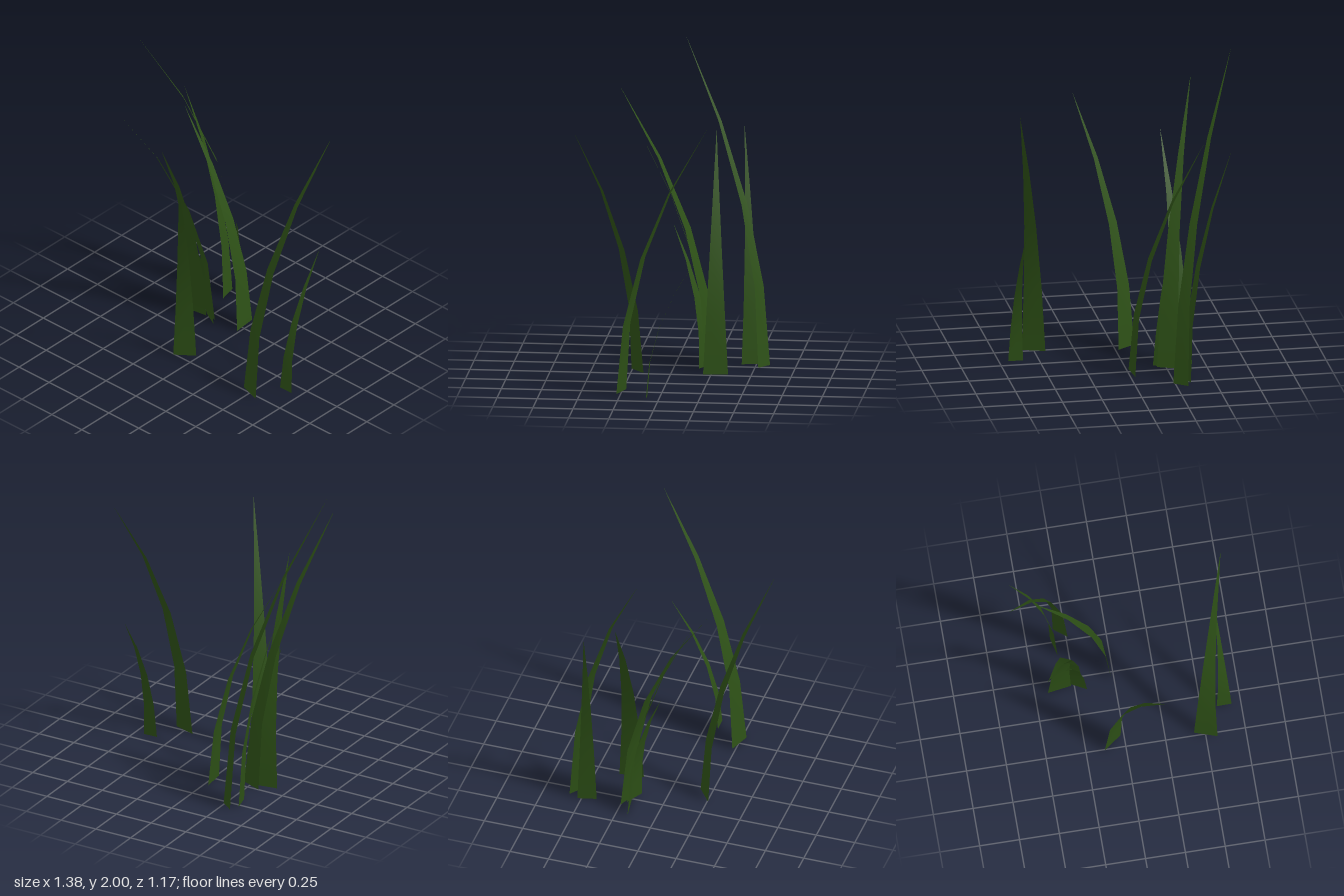
import * as THREE from 'three';

// One blade: a flat strip that narrows to a point and bends over quadratically.
function makeBlade(width, height, lean) {
  const geo = new THREE.PlaneGeometry(width, height, 1, 4);
  geo.translate(0, height / 2, 0);
  const pos = geo.attributes.position;
  for (let i = 0; i < pos.count; i++) {
    const t = pos.getY(i) / height;
    pos.setX(i, pos.getX(i) * (1 - t));
    pos.setZ(i, lean * t * t);
  }
  geo.computeVertexNormals();
  return geo;
}

export function createModel() {
  const group = new THREE.Group();
  group.name = 'grassTuft';
  const material = new THREE.MeshStandardMaterial({ color: 0x2d5016, side: THREE.DoubleSide });

  // base x, base z, tip x, tip z, height, base width
  const blades = [
    [-0.28, -0.553, -0.693, -0.02, 2.0, 0.105],
    [-0.334, -0.467, -0.63, -0.393, 1.46, 0.12],
    [-0.022, -0.278, -0.485, -0.235, 1.46, 0.155],
    [-0.262, -0.222, -0.51, 0.372, 1.71, 0.145],
    [-0.345, -0.187, -0.285, 0.2, 1.43, 0.15],
    [-0.233, -0.19, -0.343, 0.018, 0.88, 0.13],
    [-0.077, 0.214, 0.2, 0.58, 1.57, 0.143],
    [0.501, 0.253, 0.686, -0.303, 1.725, 0.148],
    [0.645, 0.08, 0.64, -0.24, 0.9, 0.094],
  ];

  blades.forEach(([x, z, tipX, tipZ, height, width], i) => {
    const dx = tipX - x, dz = tipZ - z;
    const blade = new THREE.Mesh(makeBlade(width, height, Math.hypot(dx, dz)), material);
    blade.name = `grassBlade${i + 1}`;
    blade.position.set(x, 0, z);
    blade.rotation.y = Math.atan2(dx, dz); // turn the bend towards the tip
    group.add(blade);
  });
  return group;
}
